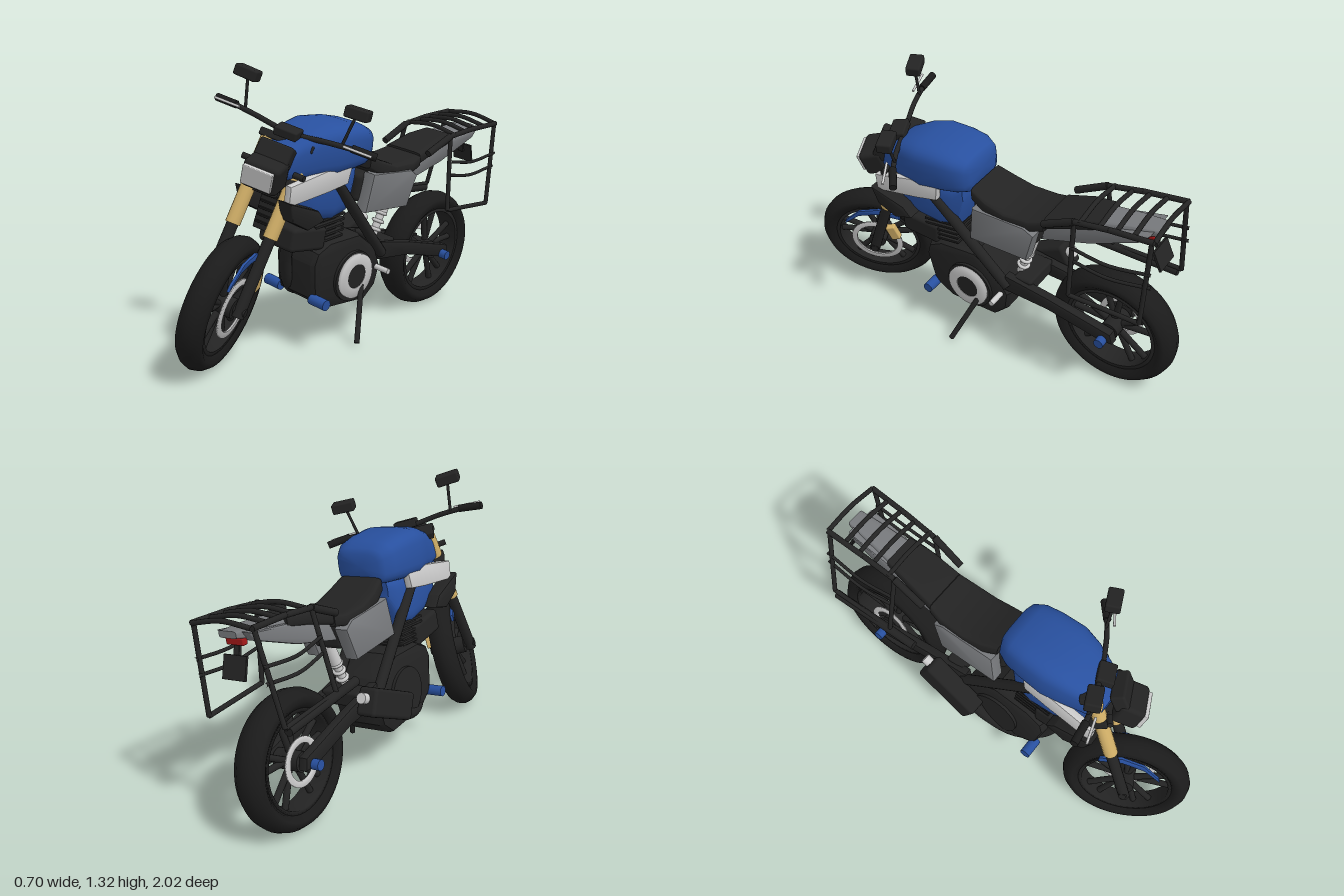
import * as THREE from 'three';
import { RoundedBoxGeometry } from 'three/addons/geometries/RoundedBoxGeometry.js';
import { toCreasedNormals } from 'three/addons/utils/BufferGeometryUtils.js';

const V = (p) => new THREE.Vector3(...p);
const paint = (color) => new THREE.MeshStandardMaterial({ color });
const black = paint(0x232323), rubber = paint(0x1b1b1b), blue = paint(0x28509f), gold = paint(0xd2b068);
const silver = paint(0xcccccc), grey = paint(0x77797c), red = paint(0xa01818);

function add(parent, name, geo, mat, pos = [0, 0, 0], rot = [0, 0, 0]) {
  const m = new THREE.Mesh(geo, mat);
  m.name = name;
  m.position.set(...pos);
  m.rotation.set(...rot);
  parent.add(m);
  return m;
}
function box(parent, name, size, mat, pos, rot) {
  const r = Math.min(...size) * 0.18;
  return add(parent, name, new RoundedBoxGeometry(...size, 2, r), mat, pos, rot);
}
// Straight round bar between two points
function rod(parent, name, a, b, r, mat) {
  const p = V(a), q = V(b), d = q.clone().sub(p);
  const m = add(parent, name, new THREE.CylinderGeometry(r, r, d.length(), 14), mat);
  m.position.copy(p).add(q).multiplyScalar(0.5);
  m.quaternion.setFromUnitVectors(new THREE.Vector3(0, 1, 0), d.normalize());
  return m;
}
function bars(parent, name, pts, r, mat) {
  for (let i = 1; i < pts.length; i++) rod(parent, name, pts[i - 1], pts[i], r, mat);
}
function pipe(parent, name, pts, r, mat) {
  const c = new THREE.CatmullRomCurve3(pts.map(V));
  return add(parent, name, new THREE.TubeGeometry(c, 24, r, 10), mat);
}
// Side outline given as [z, y], thickened across x
function plate(parent, name, pts, x, depth, mat, bevel = 0.01) {
  const s = new THREE.Shape(pts.map(([z, y]) => new THREE.Vector2(z, y)));
  const g = new THREE.ExtrudeGeometry(s, { depth, bevelSize: bevel, bevelThickness: bevel, bevelOffset: -bevel, bevelSegments: 2 });
  g.translate(0, 0, -depth / 2).rotateY(-Math.PI / 2);
  return add(parent, name, toCreasedNormals(g, 0.6), mat, [x, 0, 0]);
}
// Rounded-square sections [z, centreY, halfWidth, halfHeight], from back to front
function loft(parent, name, sections, mat, power = 0.55) {
  const n = 32, pos = [], idx = [], f = (v) => Math.sign(v) * Math.abs(v) ** power;
  const first = sections[0], last = sections[sections.length - 1];
  const all = [[first[0], first[1], 0, 0], ...sections, [last[0], last[1], 0, 0]];
  all.forEach(([z, y, w, h], i) => {
    for (let j = 0; j < n; j++) {
      const a = (j / n) * Math.PI * 2, k = i * n + j, b = i * n + ((j + 1) % n);
      pos.push(w * f(Math.cos(a)), y + h * f(Math.sin(a)), z);
      if (i < all.length - 1) idx.push(k, b, k + n, b, b + n, k + n);
    }
  });
  const g = new THREE.BufferGeometry();
  g.setAttribute('position', new THREE.Float32BufferAttribute(pos, 3));
  g.setIndex(idx);
  return add(parent, name, toCreasedNormals(g, 0.8), mat);
}
const across = (g) => g.rotateZ(Math.PI / 2);
const ring = (outer, inner, w) => across(new THREE.LatheGeometry(
  [[inner, -w], [outer, -w], [outer, w], [inner, w], [inner, -w]].map((p) => new THREE.Vector2(...p)), 48));
const both = (fn) => [1, -1].forEach(fn);

function wheel(name, r, w, discSide, discR) {
  const g = new THREE.Group();
  g.name = name;
  const k = r - 0.085;
  const prof = [[k, -w * 0.7], [k + 0.03, -w], [r - 0.03, -w * 0.92], [r - 0.008, -w * 0.5], [r, 0],
    [r - 0.008, w * 0.5], [r - 0.03, w * 0.92], [k + 0.03, w], [k, w * 0.7], [k, -w * 0.7]];
  add(g, 'tyre', across(new THREE.LatheGeometry(prof.map((p) => new THREE.Vector2(...p)), 56)), rubber);
  add(g, 'rim', ring(k + 0.01, k - 0.015, w * 0.72), black);
  add(g, 'hub', across(new THREE.CylinderGeometry(0.045, 0.045, 0.13, 24)), black);
  for (let i = 0; i < 10; i++) {
    const a = (Math.floor(i / 2) / 5) * Math.PI * 2, t = a + (i % 2 ? 0.2 : -0.2);
    rod(g, 'spoke', [0, 0.03 * Math.cos(a), 0.03 * Math.sin(a)], [0, k * Math.cos(t), k * Math.sin(t)], 0.015, black);
  }
  add(g, 'brakeDisc', ring(discR, discR - 0.028, 0.005), silver, [discSide * 0.06, 0, 0]);
  return g;
}

function buildFrontEnd(bike) {
  const rake = 0.42;
  const head = new THREE.Group(), steer = new THREE.Group();
  head.name = 'steeringHead';
  steer.name = 'frontEnd';
  head.position.set(0, 0.988, 0.42);
  head.rotation.x = -rake;
  steer.rotation.y = 0.43;
  bike.add(head);
  head.add(steer);
  // Wheel with upright axes so its parts use side-view offsets
  const w = wheel('frontWheel', 0.31, 0.062, 1, 0.138);
  w.position.y = -0.755;
  w.rotation.x = rake;
  steer.add(w);
  both((s) => {
    plate(w, 'frontMudguard', [[0.14, 0.14], [0.05, 0.2], [-0.06, 0.215], [-0.17, 0.18], [-0.17, 0.21], [-0.07, 0.25], [0.04, 0.235], [0.13, 0.165]], s * 0.07, 0.008, blue, 0.003);
    rod(steer, 'forkLeg', [s * 0.092, -0.785, 0], [s * 0.092, -0.4, 0], 0.027, black);
    rod(steer, 'forkTube', [s * 0.092, -0.42, 0], [s * 0.092, 0, 0], 0.034, gold);
    rod(steer, 'grip', [s * 0.28, 0.068, 0.015], [s * 0.39, 0.072, -0.015], 0.018, rubber);
    rod(steer, 'lever', [s * 0.25, 0.06, 0.05], [s * 0.38, 0.062, 0.035], 0.006, silver);
    rod(steer, 'mirrorStem', [s * 0.235, 0.065, 0.015], [s * 0.26, 0.2, 0.075], 0.007, black);
    box(steer, 'mirror', [0.11, 0.05, 0.07], black, [s * 0.265, 0.21, 0.075], [0.3, 0, s * 0.05]);
    rod(steer, 'frontIndicator', [s * 0.1, -0.13, 0.05], [s * 0.15, -0.13, 0.06], 0.014, black);
  });
  rod(steer, 'frontAxle', [-0.12, -0.755, 0], [0.12, -0.755, 0], 0.02, black);
  box(w, 'brakeCaliper', [0.035, 0.09, 0.05], gold, [0.085, 0.1, -0.12], [0.2, 0, 0]);
  box(steer, 'upperClamp', [0.26, 0.035, 0.09], black, [0, 0, -0.01]);
  box(steer, 'lowerClamp', [0.26, 0.04, 0.09], black, [0, -0.17, -0.01]);
  pipe(steer, 'handlebar', [[-0.3, 0.068, 0.01], [-0.18, 0.055, 0.025], [0, 0.035, 0.025], [0.18, 0.055, 0.025], [0.3, 0.068, 0.01]], 0.012, black);
  box(steer, 'instrument', [0.11, 0.04, 0.08], black, [0, 0.035, 0.05], [0.5, 0, 0]);
  // Headlight
  box(steer, 'headlight', [0.17, 0.13, 0.12], black, [0, -0.17, 0.12], [0.6, 0, 0]);
  box(steer, 'headlightLens', [0.14, 0.09, 0.02], silver, [-0.005, -0.205, 0.178], [0.6, 0, 0]);
  box(steer, 'headlightCowl', [0.16, 0.1, 0.07], black, [0, -0.08, 0.1], [-0.1, 0, 0]);
}

function buildBody(bike) {
  loft(bike, 'tank', [[-0.015, 0.955, 0.1, 0.06], [0, 0.955, 0.13, 0.085], [0.05, 0.96, 0.155, 0.1], [0.13, 0.96, 0.165, 0.112],
    [0.25, 0.955, 0.17, 0.12], [0.34, 0.945, 0.15, 0.11], [0.43, 0.92, 0.12, 0.095], [0.52, 0.9, 0.1, 0.06]], blue);
  loft(bike, 'lowerBody', [[0.055, 0.82, 0.09, 0.06], [0.1, 0.76, 0.115, 0.125], [0.2, 0.74, 0.125, 0.13], [0.32, 0.75, 0.125, 0.12], [0.42, 0.78, 0.11, 0.1], [0.47, 0.83, 0.1, 0.06]], blue);
  both((s) => {
    plate(bike, 'tankSidePanel', [[0.53, 0.745], [0.53, 0.835], [0.31, 0.88], [0.15, 0.88], [0.165, 0.805], [0.29, 0.78]], s * 0.135, 0.025, silver, 0.006);
    plate(bike, 'sideScoop', [[0.55, 0.77], [0.36, 0.71], [0.32, 0.66], [0.42, 0.63], [0.52, 0.68]], s * 0.138, 0.06, black);
    plate(bike, 'seatSidePanel', [[0, 0.635], [-0.03, 0.82], [-0.31, 0.81], [-0.36, 0.78], [-0.31, 0.625]], s * 0.105, 0.05, grey);
    plate(bike, 'tailPanel', [[-0.36, 0.73], [-0.4, 0.835], [-0.6, 0.9], [-0.9, 0.955], [-0.87, 0.91], [-0.62, 0.805]], s * 0.05, 0.05, grey);
    rod(bike, 'frameTube', [s * 0.12, 0.8, 0.2], [s * 0.12, 0.4, -0.18], 0.026, black);
  });
  loft(bike, 'seat', [[-0.4, 0.835, 0.115, 0.03], [-0.33, 0.815, 0.128, 0.03], [-0.2, 0.81, 0.132, 0.035], [-0.1, 0.835, 0.128, 0.04], [-0.02, 0.875, 0.115, 0.035]], black, 0.3);
  loft(bike, 'rearSeat', [[-0.67, 0.92, 0.085, 0.025], [-0.55, 0.895, 0.1, 0.03], [-0.4, 0.845, 0.11, 0.03]], black, 0.3);
  loft(bike, 'tail', [[-0.93, 0.95, 0.045, 0.015], [-0.8, 0.925, 0.06, 0.03], [-0.65, 0.89, 0.075, 0.045]], grey, 0.4);
  box(bike, 'innerFrame', [0.16, 0.14, 0.34], black, [0, 0.74, -0.16]);
  box(bike, 'tailLight', [0.09, 0.03, 0.03], red, [0, 0.91, -0.885]);
  box(bike, 'plateHolder', [0.03, 0.12, 0.015], black, [0, 0.87, -0.89], [0.3, 0, 0]);
  box(bike, 'numberPlate', [0.12, 0.1, 0.012], black, [0, 0.81, -0.92], [0.35, 0, 0]);
}

function buildEngine(bike) {
  plate(bike, 'engine', [[0.3, 0.42], [0.27, 0.25], [0.17, 0.185], [-0.09, 0.175], [-0.16, 0.24], [-0.18, 0.34], [-0.12, 0.45], [0, 0.53], [0.2, 0.52], [0.28, 0.48]], 0, 0.2, black, 0.03);
  both((s) => add(bike, 'engineCover', across(new THREE.CylinderGeometry(0.125, 0.125, 0.02, 36)), black, [s * 0.135, 0.33, 0.035]));
  add(bike, 'coverRing', ring(0.11, 0.06, 0.012), silver, [0.15, 0.335, 0.035]);
  add(bike, 'coverCentre', across(new THREE.CylinderGeometry(0.06, 0.06, 0.03, 30)), black, [0.145, 0.335, 0.035]);
  box(bike, 'cylinderBlock', [0.17, 0.16, 0.16], black, [0, 0.58, 0.2], [0.15, 0, 0]);
  for (let i = 0; i < 5; i++) box(bike, 'coolingFin', [0.21, 0.012, 0.19], black, [0, 0.53 + i * 0.026, 0.2], [0.1, 0, 0]);
  box(bike, 'cylinderHead', [0.22, 0.11, 0.22], black, [0, 0.55, 0.33], [-0.1, 0, 0]);
  // Radiator
  box(bike, 'radiator', [0.12, 0.34, 0.03], black, [0, 0.76, 0.475], [-0.25, 0, 0]);
  box(bike, 'radiatorCover', [0.15, 0.15, 0.03], black, [0, 0.84, 0.525], [-0.25, 0, 0]);
  for (let i = 0; i < 9; i++) box(bike, 'radiatorFin', [0.1, 0.01, 0.03], rubber, [0, 0.63 + i * 0.03, 0.515 - i * 0.0077]);
  // Exhaust on the right
  pipe(bike, 'exhaustPipe', [[0, 0.52, 0.35], [-0.03, 0.42, 0.33], [-0.06, 0.28, 0.265], [-0.11, 0.21, 0.14], [-0.14, 0.24, 0], [-0.17, 0.34, -0.08]], 0.03, black);
  box(bike, 'muffler', [0.1, 0.13, 0.32], black, [-0.182, 0.38, -0.205], [0.45, 0, 0]);
  rod(bike, 'mufflerTip', [-0.175, 0.455, -0.33], [-0.175, 0.475, -0.375], 0.025, silver);
  both((s) => {
    rod(bike, 'crashBobbin', [s * 0.1, 0.25, 0.265], [s * 0.195, 0.25, 0.265], 0.026, blue);
    rod(bike, 'footPeg', [s * 0.11, 0.34, -0.14], [s * 0.21, 0.34, -0.14], 0.014, silver);
  });
  rod(bike, 'kickstand', [0.15, 0.28, -0.02], [0.262, 0.045, 0.095], 0.013, black);
}

function buildRear(bike) {
  const w = wheel('rearWheel', 0.311, 0.075, -1, 0.11);
  w.position.set(0, 0.303, -0.69);
  bike.add(w);
  rod(bike, 'rearAxle', [-0.13, 0.303, -0.69], [0.13, 0.303, -0.69], 0.018, black);
  both((s) => {
    plate(bike, 'swingarm', [[-0.15, 0.37], [-0.17, 0.46], [-0.4, 0.42], [-0.73, 0.345], [-0.74, 0.29], [-0.66, 0.29], [-0.4, 0.35]], s * 0.1, 0.03, black, 0.008);
    rod(bike, 'axleCap', [s * 0.12, 0.303, -0.69], [s * 0.16, 0.303, -0.69], 0.024, blue);
  });
  box(bike, 'swingarmBridge', [0.2, 0.07, 0.1], black, [0, 0.42, -0.25]);
  // Shock absorber
  rod(bike, 'shockRod', [0.03, 0.44, -0.2], [0.03, 0.62, -0.27], 0.02, silver);
  rod(bike, 'shockBody', [0.03, 0.57, -0.25], [0.03, 0.7, -0.3], 0.029, silver);
  [[0.49, -0.22], [0.53, -0.235], [0.57, -0.25]].forEach(([y, z]) =>
    add(bike, 'springCoil', new THREE.TorusGeometry(0.024, 0.009, 8, 20), silver, [0.03, y, z], [1.2, 0, 0]));
  // Luggage rack and hanging side frames
  both((s) => {
    rod(bike, 'rackStrut', [s * 0.14, 0.88, -0.42], [s * 0.145, 0.955, -0.58], 0.017, black);
    bars(bike, 'rackRail', [[s * 0.145, 0.955, -0.58], [s * 0.15, 0.98, -0.75], [s * 0.155, 0.995, -0.955]], 0.013, black);
    bars(bike, 'sideFrame', [[s * 0.145, 0.96, -0.58], [s * 0.2, 0.585, -0.57], [s * 0.2, 0.575, -0.915], [s * 0.155, 0.995, -0.945]], 0.011, black);
    [0.83, 0.76].forEach((y) => pipe(bike, 'sideFrameBar', [[s * 0.17, y, -0.58], [s * 0.18, y - 0.015, -0.75], [s * 0.175, y + 0.01, -0.955]], 0.008, black));
  });
  rod(bike, 'lowerRackBar', [-0.2, 0.58, -0.425], [-0.2, 0.555, -0.9], 0.021, black);
  [-0.61, -0.7, -0.78, -0.86, -0.955].forEach((z) => {
    const y = 0.995 + (z + 0.955) * -0.1;
    pipe(bike, 'rackSlat', [[-0.155, y, z], [0, y + 0.02, z], [0.155, y, z]], 0.011, black);
  });
}

export function createModel() {
  const root = new THREE.Group(), bike = new THREE.Group();
  root.name = 'motorcycle';
  bike.name = 'leaningBike';
  root.add(bike);
  buildFrontEnd(bike);
  buildBody(bike);
  buildEngine(bike);
  buildRear(bike);
  // Lean onto the kickstand and rest on the ground
  bike.rotation.z = -0.158;
  bike.position.x = -0.15;
  root.updateMatrixWorld(true);
  const b = new THREE.Box3().setFromObject(root, true);
  bike.position.y = -b.min.y;
  bike.position.z = -(b.min.z + b.max.z) / 2;
  return root;
}
